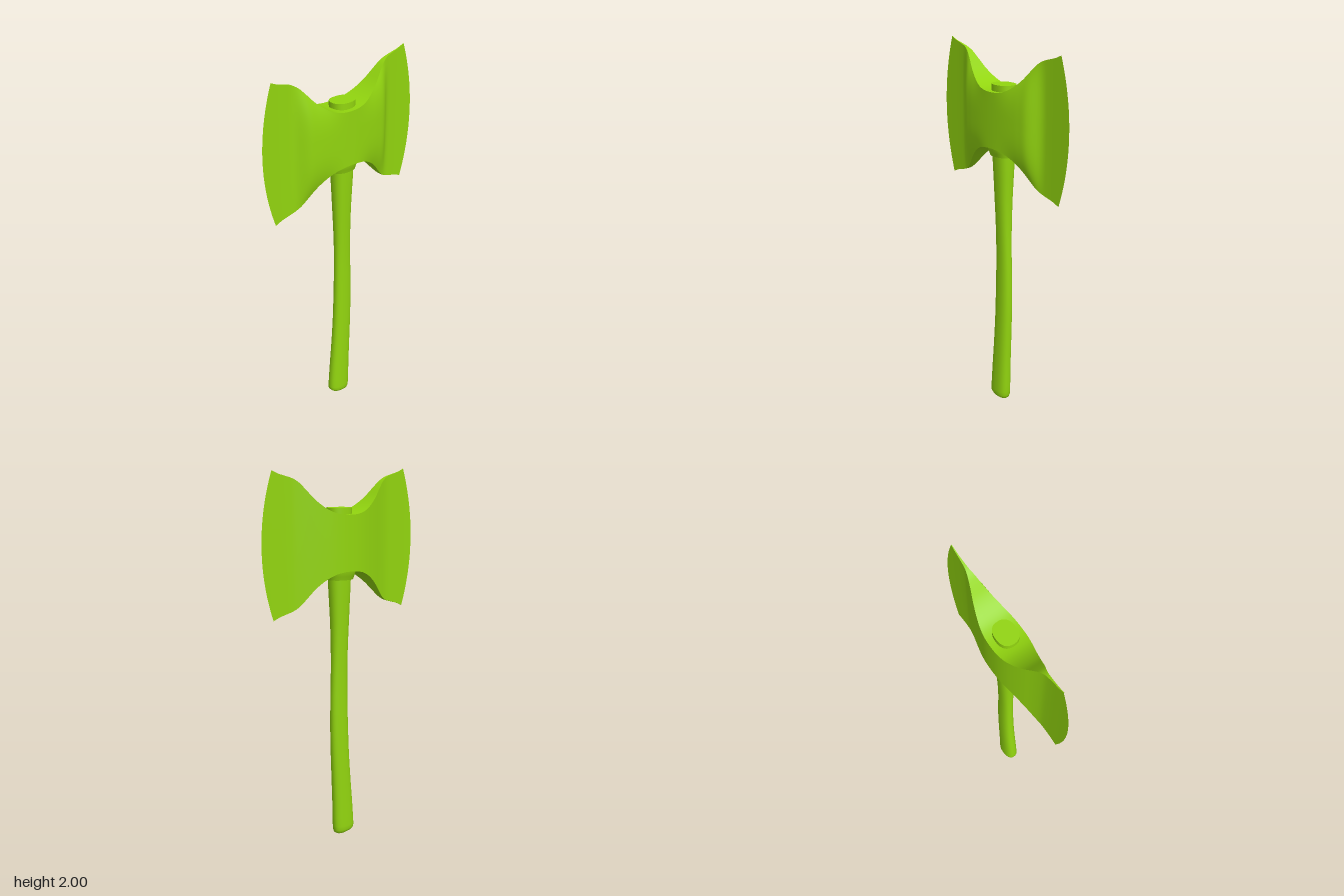
import * as THREE from 'three';
import { ParametricGeometry } from 'three/addons/geometries/ParametricGeometry.js';

const material = new THREE.MeshStandardMaterial({ color: 0x92d50f });

// Smooth even function of z from [z, value] pairs
function profile(pairs) {
  const all = [[-pairs[1][0], pairs[1][1]], ...pairs];
  const curve = new THREE.CubicInterpolant(all.map(p => p[0]), all.map(p => p[1]), 1);
  return z => Math.max(0, curve.evaluate(Math.min(Math.abs(z), pairs.at(-1)[0]))[0]);
}

const MID = 1.625;   // height of the head's centre line
const TIP = 0.435;   // z of the blade corners
const halfHeight = profile([[0, 0.147], [0.05, 0.15], [0.1, 0.162], [0.15, 0.188], [0.2, 0.228],
  [0.25, 0.283], [0.28, 0.314], [0.31, 0.333], [0.35, 0.346], [0.4, 0.36], [0.435, 0.375]]);
const halfThickness = profile([[0, 0.087], [0.05, 0.085], [0.1, 0.077], [0.15, 0.063], [0.2, 0.046],
  [0.25, 0.027], [0.28, 0.017], [0.31, 0.009], [0.35, 0.005], [0.42, 0.002], [0.5, 0]]);
const bulge = profile([[0, 0], [0.05, 0.001], [0.1, 0.006], [0.15, 0.015], [0.2, 0.025],
  [0.25, 0.032], [0.28, 0.02], [0.3, 0.008], [0.33, 0], [0.5, 0]]);

// Point on a cheek: s, t run -1..1 along z and y; side is +1 or -1
function cheekPoint(s, t, side, target) {
  const z0 = s * TIP;
  const flare = Math.max(0, (Math.abs(z0) - 0.2) / (TIP - 0.2)) ** 2;
  const z = z0 + Math.sign(s) * 0.065 * flare * (1 - t * t);
  let x = halfThickness(z);
  if (side > 0) x += bulge(z) * (1 - Math.abs(t) ** 3);
  return target.set(side * x, MID + t * halfHeight(z0), z);
}

function surface(name, func, slices, stacks) {
  const geometry = new ParametricGeometry(func, slices, stacks);
  geometry.computeVertexNormals();
  const mesh = new THREE.Mesh(geometry, material);
  mesh.name = name;
  return mesh;
}

// Double-bitted head: two curved cheeks closed by a top and a bottom strip
function createHead() {
  const head = new THREE.Group();
  head.name = 'axeHead';
  for (const side of [1, -1]) {
    head.add(surface(side > 0 ? 'leftCheek' : 'rightCheek',
      (u, v, p) => cheekPoint(-side * (2 * u - 1), 2 * v - 1, side, p), 80, 24));
    head.add(surface(side > 0 ? 'topEdge' : 'bottomEdge', (u, v, p) => {
      cheekPoint(2 * u - 1, side, 1, p);
      p.x *= side * (2 * v - 1);
    }, 80, 4));
  }
  return head;
}

// Rounded-oval loft; rows are [y, zFront, zBack, halfWidth, tilt], bottom to top
function loft(name, rows, sides = 40) {
  const positions = [], index = [];
  rows.forEach(([y, front, back, rx, tilt = 0], r) => {
    const cz = (front + back) / 2, rz = (front - back) / 2;
    for (let i = 0; i < sides; i++) {
      const a = i / sides * Math.PI * 2, c = Math.cos(a), s = Math.sin(a);
      const k = (Math.abs(c) ** 2.4 + Math.abs(s) ** 2.4) ** (-1 / 2.4);
      const z = cz + rz * k * c;
      positions.push(0.003 + rx * k * s, y + tilt * z, z);
      if (r === 0) continue;
      const a0 = (r - 1) * sides + i, b0 = (r - 1) * sides + (i + 1) % sides;
      index.push(a0, b0, b0 + sides, a0, b0 + sides, a0 + sides);
    }
  });
  const geometry = new THREE.BufferGeometry();
  geometry.setAttribute('position', new THREE.Float32BufferAttribute(positions, 3));
  geometry.setIndex(index);
  geometry.computeVertexNormals();
  const mesh = new THREE.Mesh(geometry, material);
  mesh.name = name;
  return mesh;
}

export function createModel() {
  const model = new THREE.Group();
  model.name = 'doubleAxe';
  model.add(createHead());

  // Curved handle with a rounded, slightly tilted foot
  model.add(loft('handle', [
    [0.008, 0.02, 0.02, 0, 0.12], [0.008, 0.058, -0.025, 0.026, 0.12],
    [0.014, 0.074, -0.035, 0.034, 0.1], [0.028, 0.083, -0.041, 0.039, 0.05],
    [0.05, 0.084, -0.043, 0.04], [0.1, 0.081, -0.045, 0.039], [0.2, 0.073, -0.047, 0.038],
    [0.3, 0.064, -0.051, 0.037], [0.4, 0.056, -0.055, 0.036], [0.5, 0.05, -0.059, 0.035],
    [0.6, 0.046, -0.061, 0.034], [0.7, 0.043, -0.061, 0.033], [0.8, 0.041, -0.06, 0.032],
    [0.9, 0.04, -0.057, 0.032], [1.0, 0.04, -0.055, 0.034], [1.1, 0.043, -0.055, 0.037],
    [1.2, 0.047, -0.057, 0.041], [1.3, 0.051, -0.062, 0.045], [1.4, 0.055, -0.067, 0.05],
    [1.5, 0.057, -0.07, 0.053], [1.6, 0.06, -0.076, 0.056], [1.806, 0.06, -0.076, 0.056],
    [1.806, 0.06, -0.076, 0.056], [1.806, -0.008, -0.008, 0],
  ]));

  // Flared collar under the head
  model.add(loft('collar', [
    [1.43, 0.05, -0.065, 0.045], [1.43, 0.069, -0.076, 0.06], [1.43, 0.069, -0.076, 0.06],
    [1.45, 0.075, -0.081, 0.066], [1.475, 0.082, -0.088, 0.075], [1.5, 0.082, -0.088, 0.075],
  ]));
  return model;
}
